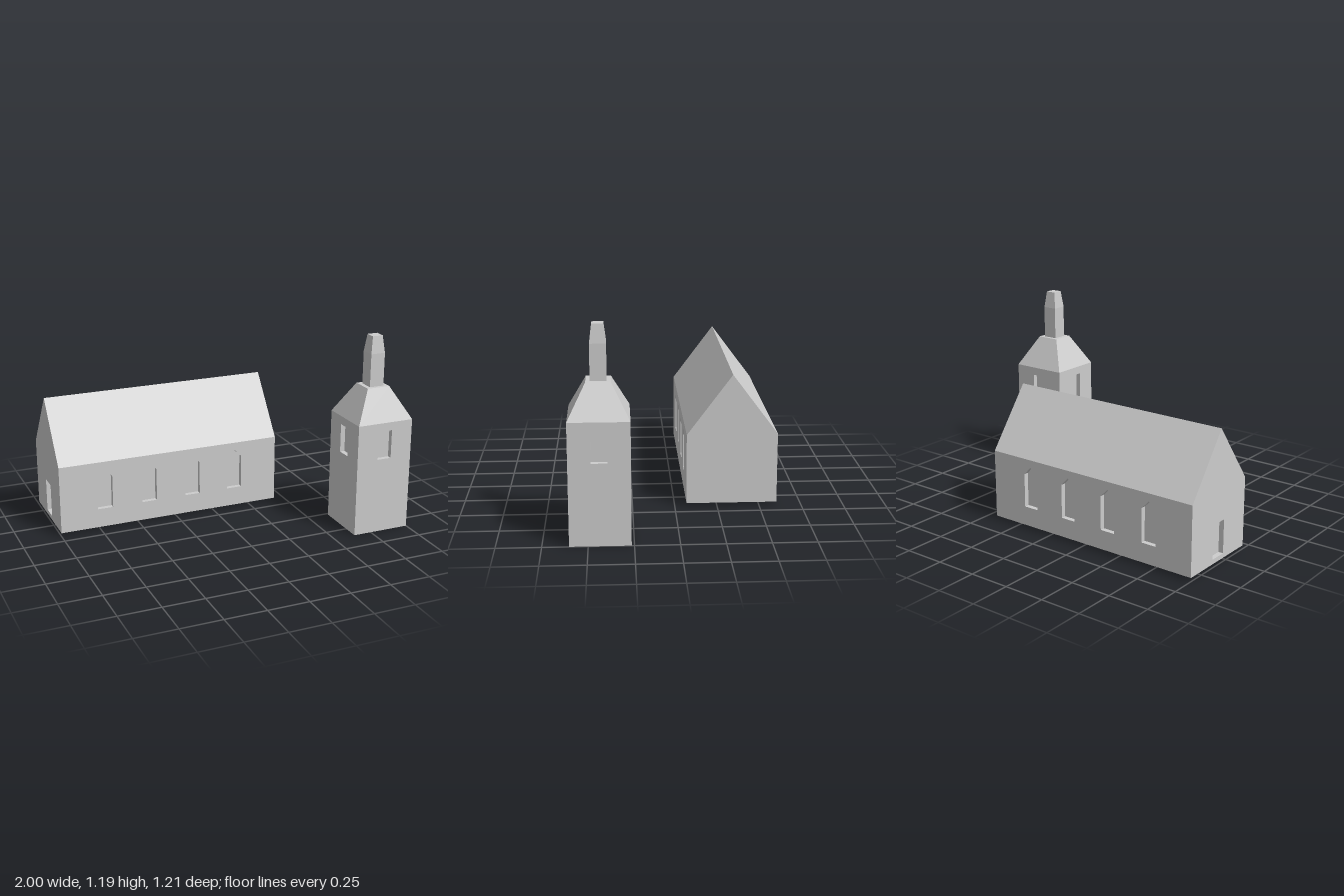
import * as THREE from 'three';
import { mergeGeometries } from 'three/addons/utils/BufferGeometryUtils.js';

const stone = new THREE.MeshStandardMaterial({ color: 0xcccccc });
stone.name = 'paleStone';

const RECESS = 0.03;

// Flat-shaded geometry from quads, each listed counter-clockwise
function quads(list) {
  const pos = [];
  for (const [a, b, c, d] of list) pos.push(...a, ...b, ...c, ...a, ...c, ...d);
  const g = new THREE.BufferGeometry();
  g.setAttribute('position', new THREE.Float32BufferAttribute(pos, 3));
  g.computeVertexNormals();
  return g;
}

function face(shape, z) {
  const g = new THREE.ShapeGeometry(shape).toNonIndexed();
  g.deleteAttribute('uv');
  return g.translate(0, 0, z);
}

const toShape = (pts) => new THREE.Shape(pts.map(([x, y]) => new THREE.Vector2(x, y)));

// A wall facing +z at distance z, with blind recessed openings
function wallGeometry(outline, openings, z) {
  const wall = toShape(outline);
  const parts = [];
  for (const pts of openings) {
    wall.holes.push(toShape(pts));
    parts.push(face(toShape(pts), z - RECESS));
    parts.push(quads(pts.map((a, i) => {
      const b = pts[(i + 1) % pts.length];
      return [[...a, z], [...b, z], [...b, z - RECESS], [...a, z - RECESS]];
    })));
  }
  parts.push(face(wall, z));
  return mergeGeometries(parts);
}

// Rectangular loft; each ring is [y, half width, half depth]
function loft(rings, capTop, capBottom) {
  const loops = rings.map(([y, w, d]) => [[-w, y, d], [w, y, d], [w, y, -d], [-w, y, -d]]);
  const list = [];
  for (let r = 0; r < loops.length - 1; r++) {
    for (let i = 0; i < 4; i++) {
      const j = (i + 1) % 4;
      list.push([loops[r][i], loops[r][j], loops[r + 1][j], loops[r + 1][i]]);
    }
  }
  if (capTop) list.push(loops[loops.length - 1]);
  if (capBottom) list.push([...loops[0]].reverse());
  return quads(list);
}

function add(group, name, geometry, turn = 0) {
  const mesh = new THREE.Mesh(geometry, stone);
  mesh.name = name;
  mesh.rotation.y = turn;
  group.add(mesh);
}

const rect = (w, y0, y1) => [[-w, y0], [w, y0], [w, y1], [-w, y1]];
const pointedWindow = (x) => [
  [x - 0.048, 0.14], [x + 0.048, 0.14], [x + 0.048, 0.345], [x, 0.395], [x - 0.048, 0.345],
];

function createChapel() {
  const chapel = new THREE.Group();
  chapel.name = 'chapel';
  const W = 0.709, D = 0.267, base = 0.022, eave = 0.442, ridge = 0.8;

  // Long walls with four pointed windows each
  const windows = [-0.427, -0.143, 0.143, 0.427].map(pointedWindow);
  const longWall = wallGeometry(rect(W, base, eave), windows, D);
  add(chapel, 'frontWall', longWall);
  add(chapel, 'backWall', longWall, Math.PI);

  // Gable ends, the door is in the right one
  const gable = [[-D, base], [D, base], [D, eave], [0, ridge], [-D, eave]];
  add(chapel, 'leftGable', wallGeometry(gable, [], W), Math.PI / 2);
  add(chapel, 'rightGableWithDoor', wallGeometry(gable, [rect(0.055, 0.05, 0.255)], W), -Math.PI / 2);

  // Pitched roof and underside
  const slope = quads([[[-W, eave, D], [W, eave, D], [W, ridge, 0], [-W, ridge, 0]]]);
  add(chapel, 'frontRoof', slope);
  add(chapel, 'backRoof', slope, Math.PI);
  add(chapel, 'floor', quads([[[-W, base, -D], [W, base, -D], [W, base, D], [-W, base, D]]]));
  chapel.position.set(-0.291, 0, -0.336);
  return chapel;
}

function createTower() {
  const tower = new THREE.Group();
  tower.name = 'tower';
  const W = 0.181, D = 0.169, top = 0.695;

  // Four walls, each with one rectangular window
  const opening = rect(0.045, 0.468, 0.644);
  ['frontWall', 'leftWall', 'backWall', 'rightWall'].forEach((name, i) => {
    const [half, dist] = i % 2 ? [D, W] : [W, D];
    add(tower, name, wallGeometry(rect(half, 0, top), [opening], dist), i * Math.PI / 2);
  });
  add(tower, 'floor', quads([[[-W, 0, -D], [W, 0, -D], [W, 0, D], [-W, 0, D]]]));

  // Hipped roof with flat top, carrying a tapering spire
  add(tower, 'towerRoof', loft([[top, W, D], [0.886, 0.073, 0.068]], true, false));
  add(tower, 'spire', loft([[0.886, 0.046, 0.045], [1.088, 0.046, 0.045], [1.193, 0.033, 0.032]], true, false));
  tower.position.set(0.818, 0, 0.434);
  return tower;
}

export function createModel() {
  const model = new THREE.Group();
  model.name = 'church';
  model.add(createChapel(), createTower());
  return model;
}
